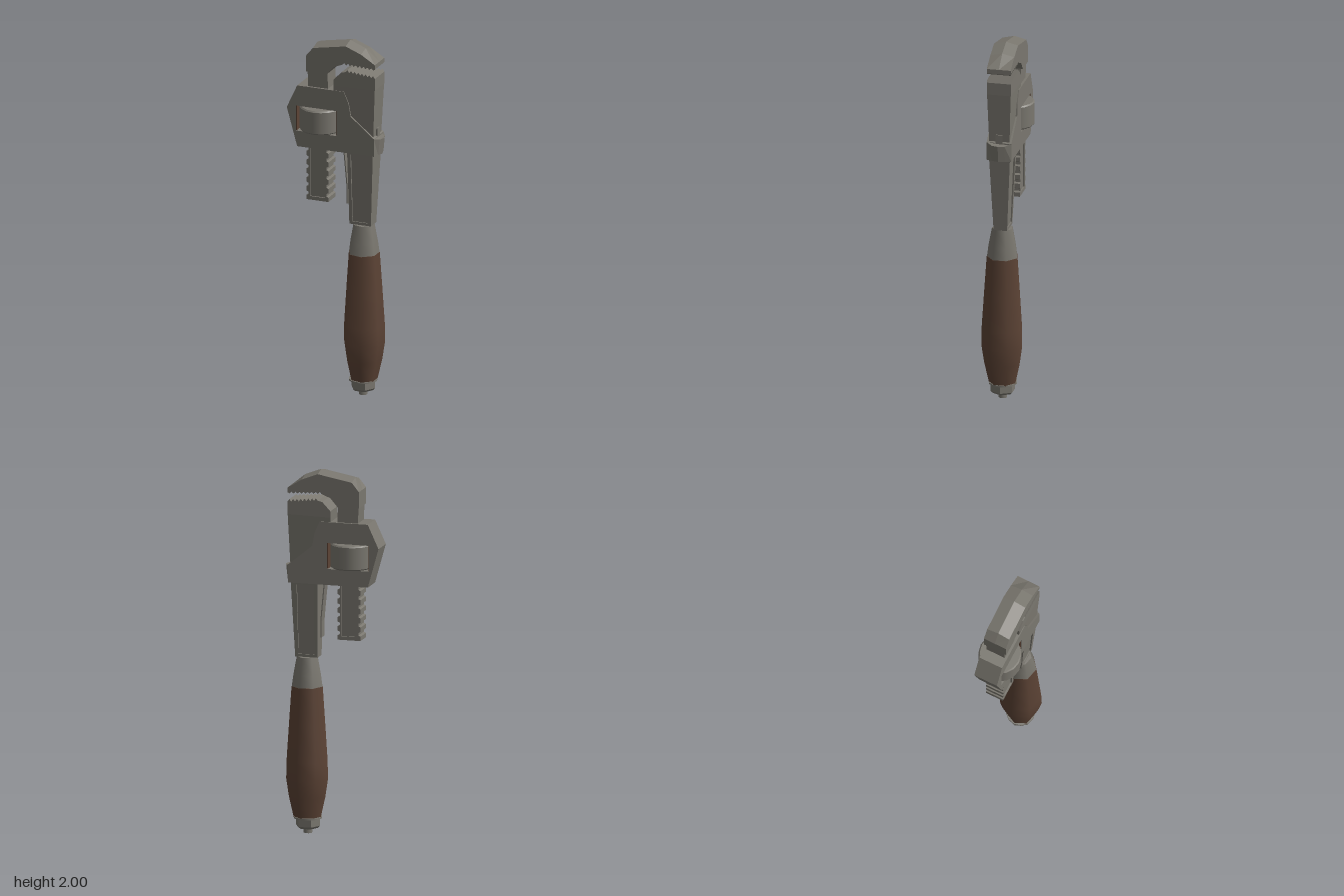
import * as THREE from 'three';

const metal = new THREE.MeshStandardMaterial({ color: 0x7a776f });
metal.name = 'steel';
const wood = new THREE.MeshStandardMaterial({ color: 0x5c4335 });
wood.name = 'brown wood';

const toPath = (pts, P = THREE.Shape) => new P(pts.map(([x, y]) => new THREE.Vector2(x, y)));

// Flat plate of the given outline, centred on z = 0
function slab(outline, depth, hole = null, steps = 1) {
  const shape = toPath(outline);
  if (hole) shape.holes.push(toPath(hole, THREE.Path));
  const geo = new THREE.ExtrudeGeometry(shape, { depth, steps, bevelEnabled: false });
  return geo.translate(0, 0, -depth / 2);
}

// Move every vertex by a rule and rebuild the flat normals
function reshape(geo, rule) {
  const p = geo.attributes.position;
  const v = new THREE.Vector3();
  for (let i = 0; i < p.count; i++) {
    rule(v.fromBufferAttribute(p, i));
    p.setXYZ(i, v.x, v.y, v.z);
  }
  geo.computeVertexNormals();
  return geo;
}

// Saw teeth along a line from a to b, rising by h
function teeth(a, b, n, h) {
  const pts = [];
  for (let i = 0; i < n; i++) {
    for (const [t, dy] of [[i / n, 0], [(i + 0.5) / n, h]]) {
      pts.push([a[0] + (b[0] - a[0]) * t, a[1] + (b[1] - a[1]) * t + dy]);
    }
  }
  pts.push(b);
  return pts;
}

export function createModel() {
  const group = new THREE.Group();
  const add = (name, geo, mat = metal) => {
    const mesh = new THREE.Mesh(geo, mat);
    mesh.name = name;
    group.add(mesh);
    return mesh;
  };
  const box = (w, h, d, x, y, z = 0) => new THREE.BoxGeometry(w, h, d).translate(x, y, z);

  // Hook jaw with a crowned top
  const hook = slab([
    [-0.16, 1.81], [-0.16, 1.9], [-0.12, 1.965], [0.07, 2], [0.16, 1.965], [0.24, 1.9], [0.24, 1.875],
    ...teeth([0.23, 1.868], [0.05, 1.877], 8, 0.014), [0, 1.857], [-0.04, 1.81],
  ], 0.132, null, 2);
  add('hookJaw', reshape(hook, (v) => {
    if (v.y > 1.93 && Math.abs(v.z) > 0.03) v.y -= 0.016;
  }));
  add('hookNeck', slab([
    [-0.155, 1.82], [-0.04, 1.82], [-0.035, 1.7], [-0.15, 1.7],
  ], 0.11));

  // Threaded shank: ridges on both edges, recessed panels front and back
  const shankEdge = [];
  const pitch = 0.05;
  for (let y = 1.08; y < 1.45; y += pitch) {
    shankEdge.push([0.064, y], [0.064, y + 0.024], [0.052, y + 0.03], [0.052, y + pitch - 0.006]);
  }
  const cx = -0.1;
  const shankOutline = [
    ...shankEdge.map(([x, y]) => [cx + x, y]),
    ...shankEdge.map(([x, y]) => [cx - x, y]).reverse(),
  ];
  add('shank', slab(shankOutline, 0.1,
    [[cx - 0.043, 1.1], [cx + 0.043, 1.1], [cx + 0.043, 1.42], [cx - 0.043, 1.42]]));
  add('shankPanel', box(0.09, 0.33, 0.084, cx, 1.26));

  // Housing with a window for the adjusting nut
  add('housing', slab([
    [-0.21, 1.38], [0.235, 1.38], [0.235, 1.48], [0.225, 1.487], [0.1, 1.59], [0.088, 1.66],
    [0.06, 1.725], [-0.21, 1.725], [-0.27, 1.595],
  ], 0.136, [[-0.218, 1.468], [0.018, 1.468], [0.018, 1.61], [-0.218, 1.61]]));
  for (const x of [-0.216, 0.016]) add('windowWall', box(0.005, 0.14, 0.13, x, 1.539), wood);

  // Pointed collar end of the housing, lower at its tip
  const collar = slab([
    [0.2, -0.068], [0.235, -0.068], [0.256, -0.035], [0.267, 0], [0.256, 0.035], [0.235, 0.068], [0.2, 0.068],
  ], 0.1).rotateX(Math.PI / 2).translate(0, 1.43, 0);
  add('collar', reshape(collar, (v) => {
    if (v.x > 0.24) {
      if (v.y > 1.43) v.y -= 0.01;
      else v.x -= 0.01;
    }
  }));
  add('collarNotch', box(0.03, 0.05, 0.036, 0.22, 1.5));

  // Adjusting nut with slightly rounded rims
  add('adjustingNut', new THREE.LatheGeometry([
    [0, 1.473], [0.108, 1.473], [0.108, 1.473], [0.115, 1.48], [0.115, 1.48],
    [0.115, 1.6], [0.115, 1.6], [0.108, 1.607], [0.108, 1.607], [0, 1.607],
  ].map(([r, y]) => new THREE.Vector2(r, y)), 16).translate(cx, 0, 0));

  // Fixed lower jaw and its tapering heel
  add('lowerJaw', slab([
    [0, 1.75], [0, 1.785], [0.045, 1.833], ...teeth([0.07, 1.838], [0.24, 1.822], 8, 0.014), [0.24, 1.755],
  ], 0.132));
  const heel = slab([
    [0, 1.757], [0.239, 1.757], [0.225, 1.45], [0.08, 1.45], [0.06, 1.65], [0, 1.725],
  ], 0.13);
  add('jawHeel', reshape(heel, (v) => { v.z *= 1 - (1.757 - v.y) * 0.5; }));

  // Tapered arm with recessed panels
  const taper = (v) => { v.z *= 0.65 + 0.35 * (v.y - 0.97) / 0.41; };
  add('arm', reshape(slab([
    [0.08, 0.97], [0.205, 0.97], [0.225, 1.4], [0.075, 1.4],
  ], 0.114, [[0.098, 0.985], [0.187, 0.985], [0.192, 1.37], [0.094, 1.37]]), taper));
  add('armPanel', reshape(slab([
    [0.09, 0.98], [0.195, 0.98], [0.2, 1.38], [0.085, 1.38],
  ], 0.094), taper));

  // Leaf spring between shank and arm
  add('leafSpring', slab([
    [0.041, 1.39], [0.047, 1.39], [0.06, 1.25], [0.067, 1.17], [0.067, 1.08], [0.061, 1.08], [0.061, 1.17], [0.054, 1.25],
  ], 0.06));

  // Seven-sided ferrule and grip
  const hx = 0.148;
  const turned = (pts, sides, start) => new THREE.LatheGeometry(
    pts.map(([r, y]) => new THREE.Vector2(r, y)), sides, start).translate(hx, 0, 0);
  const lathe = (pts, sides) => new THREE.LatheGeometry(
    pts.map(([r, y]) => new THREE.Vector2(r, y)), sides, -Math.PI / 2).translate(hx, 0, 0);
  add('ferrule', lathe([[0.086, 0.795], [0.076, 0.87], [0.058, 0.968]], 7));
  add('ferruleTop', lathe([[0.058, 0.968], [0, 0.97]], 7));
  add('grip', lathe([
    [0.074, 0.085], [0.1, 0.2], [0.115, 0.3], [0.113, 0.4], [0.1, 0.6], [0.086, 0.805],
  ], 7), wood);
  add('gripTop', lathe([[0.086, 0.805], [0, 0.806]], 7), wood);
  add('gripBottom', lathe([[0, 0.084], [0.074, 0.085]], 7), wood);

  // Washer, hex nut and stud at the butt
  const disc = (r0, r1, y0, y1, sides) =>
    new THREE.CylinderGeometry(r1, r0, y1 - y0, sides).rotateY(Math.PI / 6)
      .toNonIndexed().translate(hx - 0.003, (y0 + y1) / 2, 0);
  const flat = (geo) => { geo.computeVertexNormals(); return geo; };
  add('washer', disc(0.078, 0.078, 0.081, 0.09, 12));
  add('hexNut', flat(disc(0.068, 0.068, 0.04, 0.081, 6)));
  add('hexNutChamfer', flat(disc(0.056, 0.068, 0.028, 0.04, 6)));
  add('stud', disc(0.024, 0.024, 0, 0.03, 8));

  return group;
}
